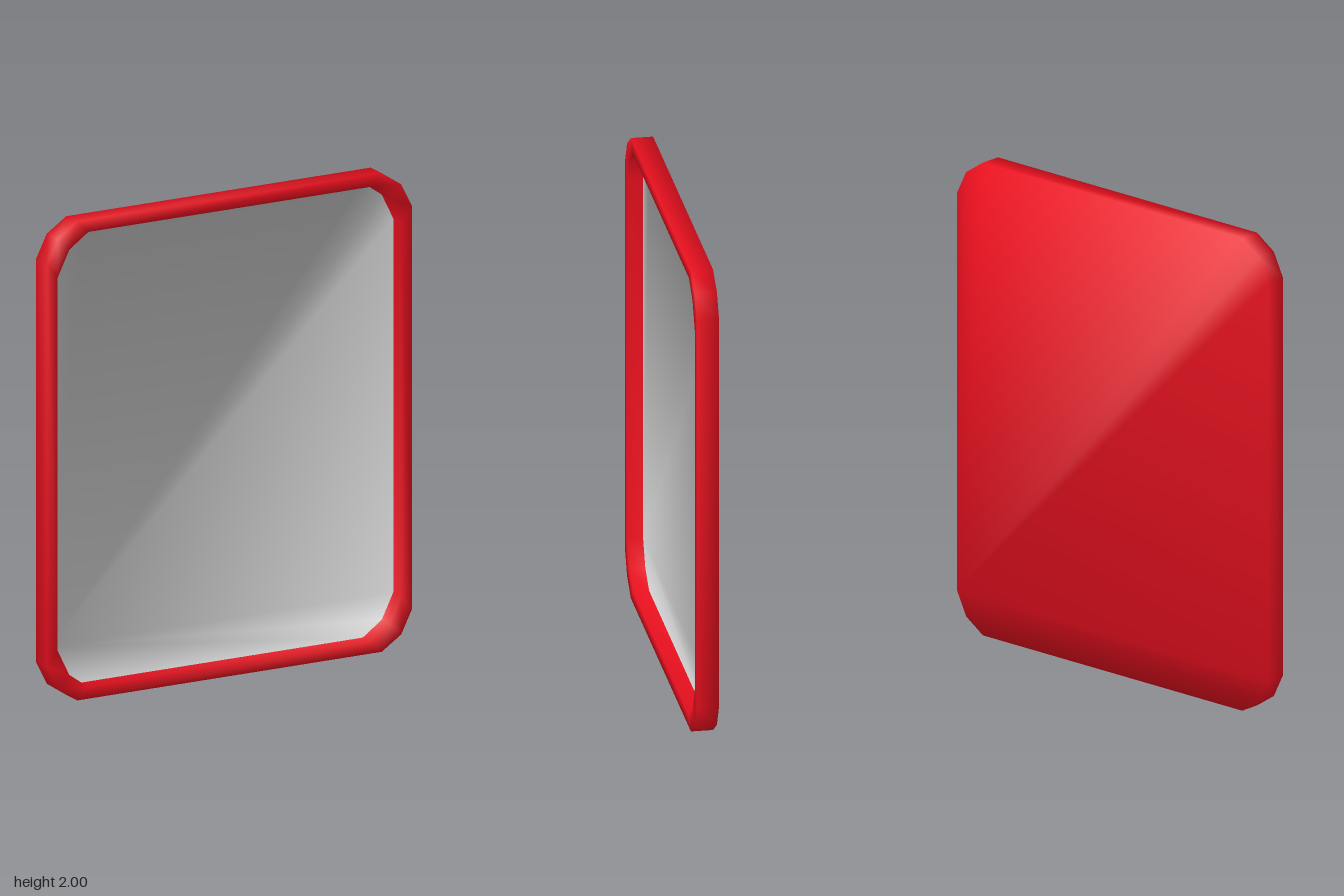
import * as THREE from 'three';

// Three corner points, mirrored into a closed 12-point outline (counter-clockwise from the front)
function outline(corner) {
  const flipped = [...corner].reverse();
  return [
    ...corner,
    ...flipped.map(([x, y]) => [-x, y]),
    ...corner.map(([x, y]) => [-x, -y]),
    ...flipped.map(([x, y]) => [x, -y]),
  ];
}

// Smooth normals weighted by the angle of each face corner
function smoothNormals(points, faces) {
  const normals = points.map(() => new THREE.Vector3());
  for (const face of faces) {
    const [a, b, c] = face.map((i) => points[i]);
    const n = new THREE.Triangle(a, b, c).getNormal(new THREE.Vector3());
    face.forEach((i, k) => {
      const u = points[face[(k + 1) % 3]].clone().sub(points[i]);
      const v = points[face[(k + 2) % 3]].clone().sub(points[i]);
      normals[i].addScaledVector(n, u.angleTo(v));
    });
  }
  return normals.map((n) => n.normalize());
}

export function createModel() {
  const group = new THREE.Group();
  const outer = outline([[0.84, 0.84], [0.79, 0.94], [0.7, 1]]);
  const inner = outline([[0.79, 0.78], [0.737, 0.888], [0.65, 0.95]]);
  const N = outer.length;

  // Rings: back edge, front edge, inside of the rim, edge of the recessed pane
  const rings = [[outer, -0.045], [outer, 0.045], [inner, 0.045], [inner, -0.02]];
  const points = rings.flatMap(([ring, z]) => ring.map(([x, y]) => new THREE.Vector3(x, y + 1, z)));

  // Frame: outer wall, front rim and inner wall
  const frame = [];
  for (let r = 0; r < 3; r++) {
    for (let j = 0; j < N; j++) {
      const k = (j + 1) % N;
      const [a, b, c, d] = [r * N + j, r * N + k, (r + 1) * N + k, (r + 1) * N + j];
      frame.push([a, b, c], [a, c, d]);
    }
  }

  // Back cover and recessed pane, each a fan from one lower corner
  const back = [], pane = [];
  for (let i = 1; i < N - 1; i++) {
    const at = (start, s) => (start + s) % N;
    back.push([11, at(11, i + 1), at(11, i)]);
    pane.push([3 * N + 6, 3 * N + at(6, i), 3 * N + at(6, i + 1)]);
  }

  // All parts share their points, so shading flows across the edges
  const normals = smoothNormals(points, [...frame, ...back, ...pane]);
  const position = new THREE.Float32BufferAttribute(points.flatMap((p) => p.toArray()), 3);
  const normal = new THREE.Float32BufferAttribute(normals.flatMap((n) => n.toArray()), 3);
  const red = new THREE.MeshStandardMaterial({ color: 0xe60f1e });
  const grey = new THREE.MeshStandardMaterial({ color: 0xcccccc });

  function addPart(name, faces, material) {
    const geometry = new THREE.BufferGeometry();
    geometry.setAttribute('position', position);
    geometry.setAttribute('normal', normal);
    geometry.setIndex(faces.flat());
    const mesh = new THREE.Mesh(geometry, material);
    mesh.name = name;
    group.add(mesh);
  }
  addPart('frame', frame, red);
  addPart('backCover', back, red);
  addPart('pane', pane, grey);
  return group;
}
